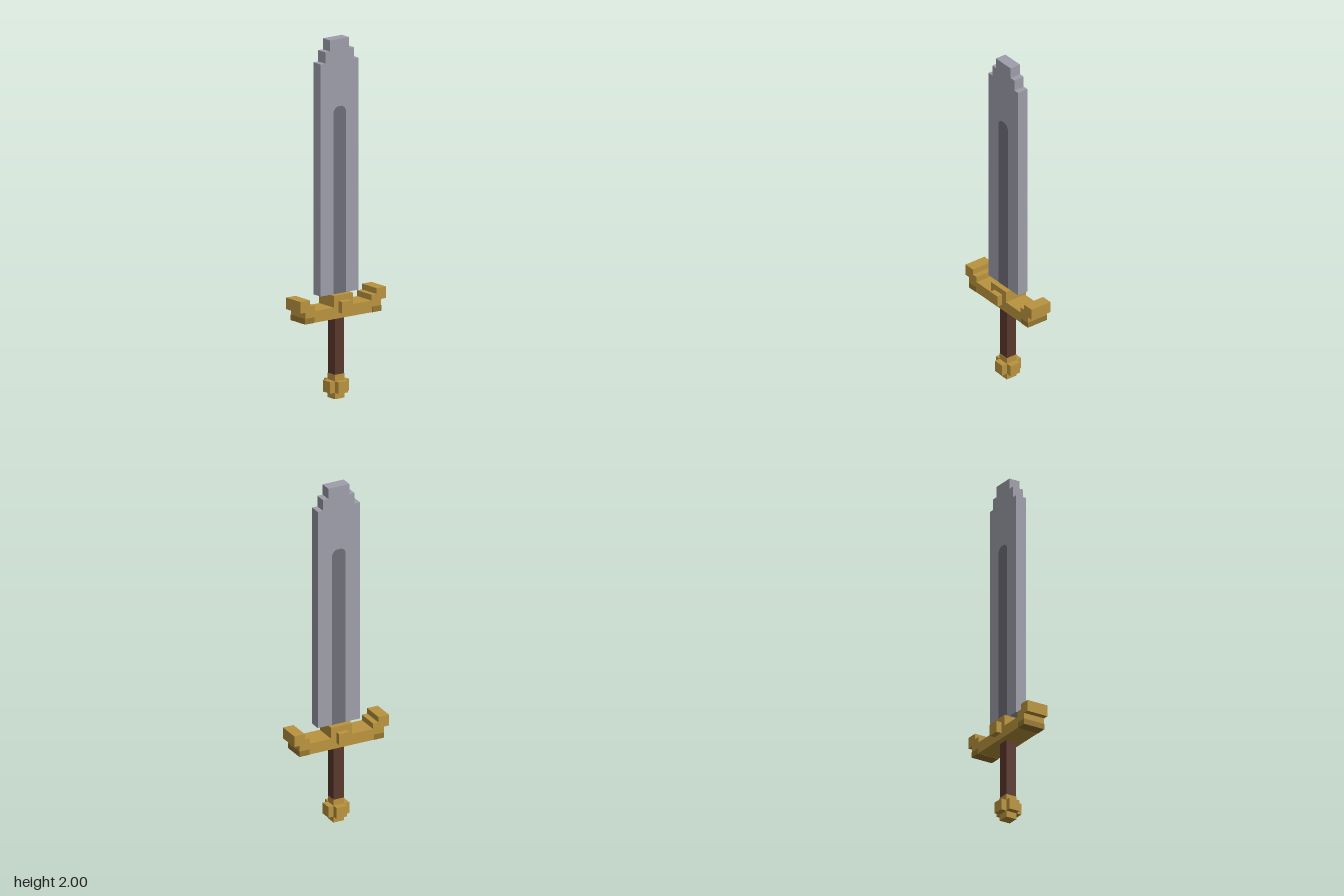
import * as THREE from 'three';

const U = 2 / 62; // one block unit

function material(name, color) {
  const m = new THREE.MeshStandardMaterial({ color });
  m.name = name;
  return m;
}

export function createModel() {
  const steel = material('steel', 0x9e9fab);
  const darkSteel = material('dark steel', 0x6d6e78);
  const gold = material('gold', 0xbb953f);
  const darkGold = material('dark gold', 0x96772f);
  const leather = material('brown leather', 0x5a382c);

  const sword = new THREE.Group();
  sword.name = 'sword';

  const add = (name, geometry, mat, parent) => {
    const mesh = new THREE.Mesh(geometry, mat);
    mesh.name = name;
    parent.add(mesh);
    return mesh;
  };
  // Box given by its x range, y range and half depth, in block units
  const block = (name, x0, x1, y0, y1, halfZ, mat, parent) => {
    const g = new THREE.BoxGeometry((x1 - x0) * U, (y1 - y0) * U, halfZ * 2 * U);
    add(name, g, mat, parent).position.set((x0 + x1) / 2 * U, (y0 + y1) / 2 * U, 0);
  };
  const group = (name) => {
    const g = new THREE.Group();
    g.name = name;
    sword.add(g);
    return g;
  };
  // Symmetric outline from its right-hand half, bottom to top
  const outline = (half) => new THREE.Shape([
    ...half,
    ...half.slice().reverse().map(([x, y]) => [-x, y]),
  ].map(([x, y]) => new THREE.Vector2(x * U, y * U)));

  // Blade with a stepped tip
  const blade = group('blade');
  const bladeShape = outline([[4, 18.15], [4, 58.15], [3, 58.15], [3, 60.1], [2, 60.1], [2, 62]]);
  const bladeGeometry = new THREE.ExtrudeGeometry(bladeShape, { depth: 2 * U, bevelEnabled: false });
  bladeGeometry.translate(0, 0, -U);
  add('bladeBody', bladeGeometry, steel, blade);

  // Dark groove down both faces
  const groove = new THREE.ShapeGeometry(
    outline([[1.28, 18.15], [1.28, 49.6], [1.0, 50.1], [0.5, 50.4]]));
  for (const side of [1, -1]) {
    const face = add(side > 0 ? 'frontGroove' : 'backGroove', groove, darkSteel, blade);
    face.position.z = side * (U + 0.001);
    if (side < 0) face.rotation.y = Math.PI;
  }

  // Crossguard with upturned ends
  const guard = group('crossguard');
  block('guardBar', -8, 8, 14.15, 16.15, 2, gold, guard);
  block('guardCentre', -2, 2, 16.15, 18.15, 2, gold, guard);
  block('guardBoss', -1, 1, 15.15, 17.15, 3, gold, guard);
  for (const s of [1, -1]) {
    const span = (a, b) => (s > 0 ? [a, b] : [-b, -a]);
    block('guardStep', ...span(6, 7), 16.15, 17.15, 2, gold, guard);
    block('guardTip', ...span(7, 9), 16.15, 18.15, 2, gold, guard);
    block('guardShade', ...span(6.1, 8.03), 14.12, 15.1, 2.03, darkGold, guard);
  }

  // Grip
  block('grip', -0.97, 0.97, 4.2, 14.15, 0.97, leather, sword);

  // Pommel: a three-way cross of blocks
  const pommel = group('pommel');
  block('pommelCore', -1, 1, 0, 4.2, 1, gold, pommel);
  block('pommelSides', -2, 2, 1.1, 3.1, 1, gold, pommel);
  block('pommelFaces', -1, 1, 1.1, 3.1, 2, gold, pommel);

  return sword;
}
